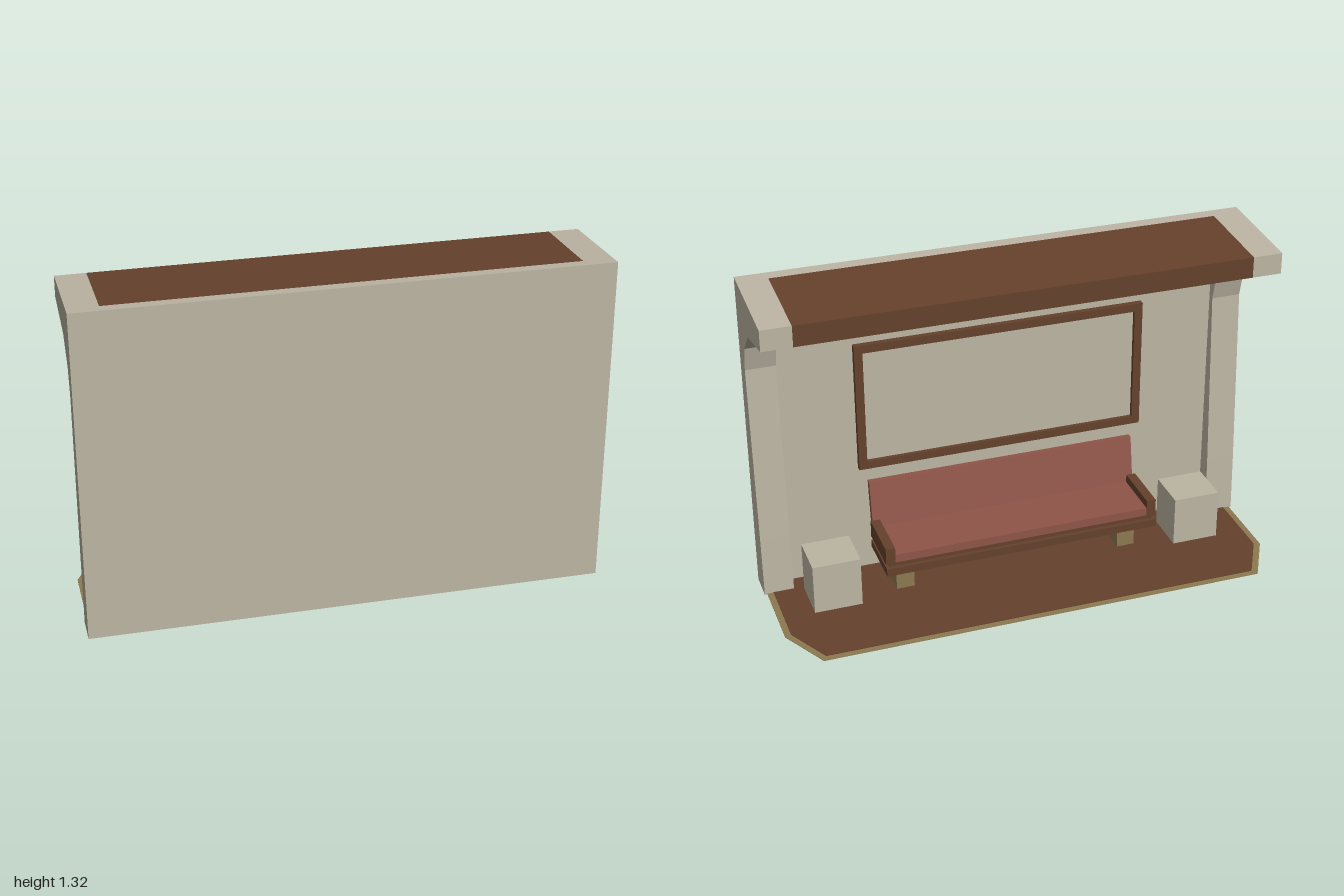
import * as THREE from 'three';

const mat = (name, color) => {
  const m = new THREE.MeshStandardMaterial({ color });
  m.name = name;
  return m;
};

export function createModel() {
  const group = new THREE.Group();
  const stone = mat('stone', 0xbcb5a3);
  const wood = mat('brown wood', 0x65412c);
  const brass = mat('olive brass', 0x8d7950);
  const leather = mat('red leather', 0x905548);

  const add = (name, geometry, material) => {
    const mesh = new THREE.Mesh(geometry, material);
    mesh.name = name;
    group.add(mesh);
    return mesh;
  };
  // Box given by its limits on each axis
  const box = (name, [x0, x1], [y0, y1], [z0, z1], material) => {
    const g = new THREE.BoxGeometry(x1 - x0, y1 - y0, z1 - z0);
    g.translate((x0 + x1) / 2, (y0 + y1) / 2, (z0 + z1) / 2);
    return add(name, g, material);
  };
  const shapeOf = (pts) => new THREE.Shape(pts.map(([a, b]) => new THREE.Vector2(a, b)));
  // Side profile of (z, y) points, extruded from x0 to x1
  const sweep = (name, pts, x0, x1, material) => {
    const g = new THREE.ExtrudeGeometry(shapeOf(pts), { depth: x1 - x0, bevelEnabled: false });
    g.rotateY(-Math.PI / 2);
    g.translate(x1, 0, 0);
    return add(name, g, material);
  };
  // Flat plan of (x, z) points, extruded from y0 to y1
  const slab = (name, pts, y0, y1, material) => {
    const g = new THREE.ExtrudeGeometry(shapeOf(pts.map(([x, z]) => [x, -z])), { depth: y1 - y0, bevelEnabled: false });
    g.rotateX(-Math.PI / 2);
    g.translate(0, y0, 0);
    return add(name, g, material);
  };

  const inner = 0.883;

  // Curved end posts that lean over to carry the canopy
  const post = [[0.31, 0], [0.31, 1.315], [-0.105, 1.29], [-0.105, 1.207],
    [0.12, 1.16], [0.21, 1.07], [0.235, 0.97], [0.2, 0.25], [0.192, 0]];
  sweep('leftPost', post, inner, 1, stone);
  sweep('rightPost', post, -1, -inner, stone);

  // Wall with a sloping top
  sweep('wall', [[0.31, 0], [0.31, 1.315], [0.262, 1.312], [0.262, 0]], -inner, inner, stone);

  // Canopy with a pale ceiling panel
  sweep('canopy', [[0.262, 1.312], [-0.105, 1.29], [-0.105, 1.207], [0.262, 1.207]], -inner, inner, wood);
  box('ceilingPanel', [-0.86, 0.86], [1.202, 1.207], [-0.075, 0.255], stone);

  // Floor mat with a border
  const mat0 = (d) => [[0.99 - d, 0.26], [0.99 - d, -0.115 + d * 0.25], [0.887 - d * 0.6, -0.31 + d],
    [-0.887 + d * 0.6, -0.31 + d], [-0.99 + d, -0.115 + d * 0.25], [-0.99 + d, 0.26]];
  slab('matBorder', mat0(0), 0.001, 0.003, brass);
  slab('matTop', mat0(0.025), 0.003, 0.005, wood);

  // Framed wall panel
  const fx = 0.585, fy0 = 0.46, fy1 = 0.995, bar = 0.033, fz = [0.238, 0.262];
  box('frameTop', [-fx, fx], [fy1 - bar, fy1], fz, wood);
  box('frameBottom', [-fx, fx], [fy0, fy0 + bar], fz, wood);
  for (const s of [-1, 1]) {
    const c = s * (fx - bar / 2);
    box('frameSide', [c - bar / 2, c + bar / 2], [fy0 + bar, fy1 - bar], fz, wood);
  }
  box('framedPanel', [-fx + bar, fx - bar], [fy0 + bar, fy1 - bar], [0.254, 0.262], stone);

  // Bench
  box('benchBase', [-0.56, 0.56], [0.128, 0.16], [-0.03, 0.2], wood);
  box('benchSeatFrame', [-0.545, 0.545], [0.16, 0.178], [-0.013, 0.2], wood);
  box('benchSeat', [-0.522, 0.522], [0.178, 0.212], [-0.018, 0.21], leather);
  sweep('benchBack', [[0.195, 0.165], [0.235, 0.4], [0.257, 0.4], [0.225, 0.165]], -0.55, 0.55, leather);

  for (const s of [-1, 1]) {
    // x range centred on either side
    const at = (c, w) => [s * c - w / 2, s * c + w / 2];
    box('benchArm', at(0.541, 0.038), [0.175, 0.245], [-0.02, 0.2], wood);
    box('benchLeg', at(0.465, 0.073), [0, 0.128], [0.055, 0.195], brass);
    // Stone block beside the bench
    box('sideBlock', at(0.75, 0.19), [0, 0.21], [0, 0.18], stone);
    // Ceiling lamp
    box('lampHousing', at(0.465, 0.16), [1.15, 1.203], [0.03, 0.155], brass);
    box('lampPlate', at(0.465, 0.135), [1.145, 1.15], [0.042, 0.143], stone);
  }
  return group;
}
